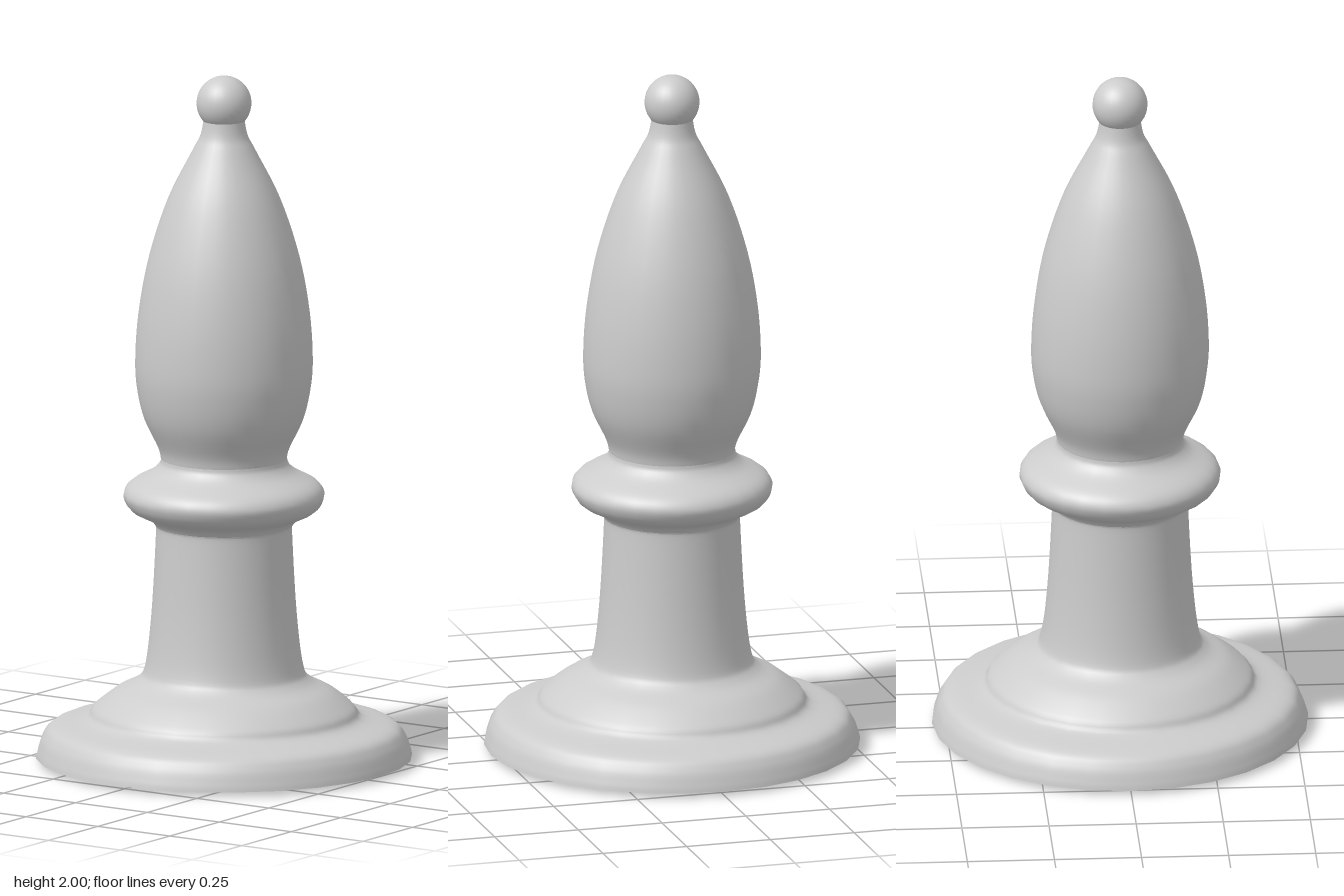
import * as THREE from 'three';

const SIDES = 28;

// Turned part: smooth spline through [radius, height] pairs, bottom to top
function turned(name, pairs, material, samples) {
  const pts = pairs.map(([r, y]) => new THREE.Vector2(r, y));
  const profile = samples ? new THREE.SplineCurve(pts).getPoints(samples) : pts;
  const mesh = new THREE.Mesh(new THREE.LatheGeometry(profile, SIDES), material);
  mesh.name = name;
  return mesh;
}

export function createModel() {
  const group = new THREE.Group();
  group.name = 'bishop';
  const grey = new THREE.MeshStandardMaterial({ color: 0xcccccc });
  grey.name = 'light grey';

  // Underside, very slightly domed towards the floor
  group.add(turned('underside', [[0, 0], [0.4, 0], [0.54, 0.014]], grey));

  // Stepped foot flowing into the stem
  group.add(turned('footAndStem', [
    [0.54, 0.014], [0.535, 0.035], [0.52, 0.075], [0.49, 0.105], [0.40, 0.128],
    [0.373, 0.16], [0.315, 0.205], [0.25, 0.24], [0.226, 0.285], [0.208, 0.44],
    [0.196, 0.655], [0.197, 0.69],
  ], grey, 60));

  // Rounded collar
  group.add(turned('collar', [
    [0.197, 0.69], [0.215, 0.71], [0.265, 0.735], [0.286, 0.765], [0.286, 0.79],
    [0.265, 0.815], [0.21, 0.845], [0.186, 0.868], [0.181, 0.885],
  ], grey, 40));

  // Teardrop head with narrow neck
  group.add(turned('head', [
    [0.181, 0.885], [0.19, 0.92], [0.228, 1.0], [0.248, 1.08], [0.255, 1.17],
    [0.246, 1.31], [0.217, 1.47], [0.162, 1.64], [0.092, 1.78], [0.067, 1.83],
    [0.057, 1.89],
  ], grey, 50));

  // Ball finial
  const ball = new THREE.Mesh(new THREE.SphereGeometry(0.079, SIDES, 20), grey);
  ball.name = 'finial';
  ball.position.y = 1.921;
  group.add(ball);

  return group;
}
